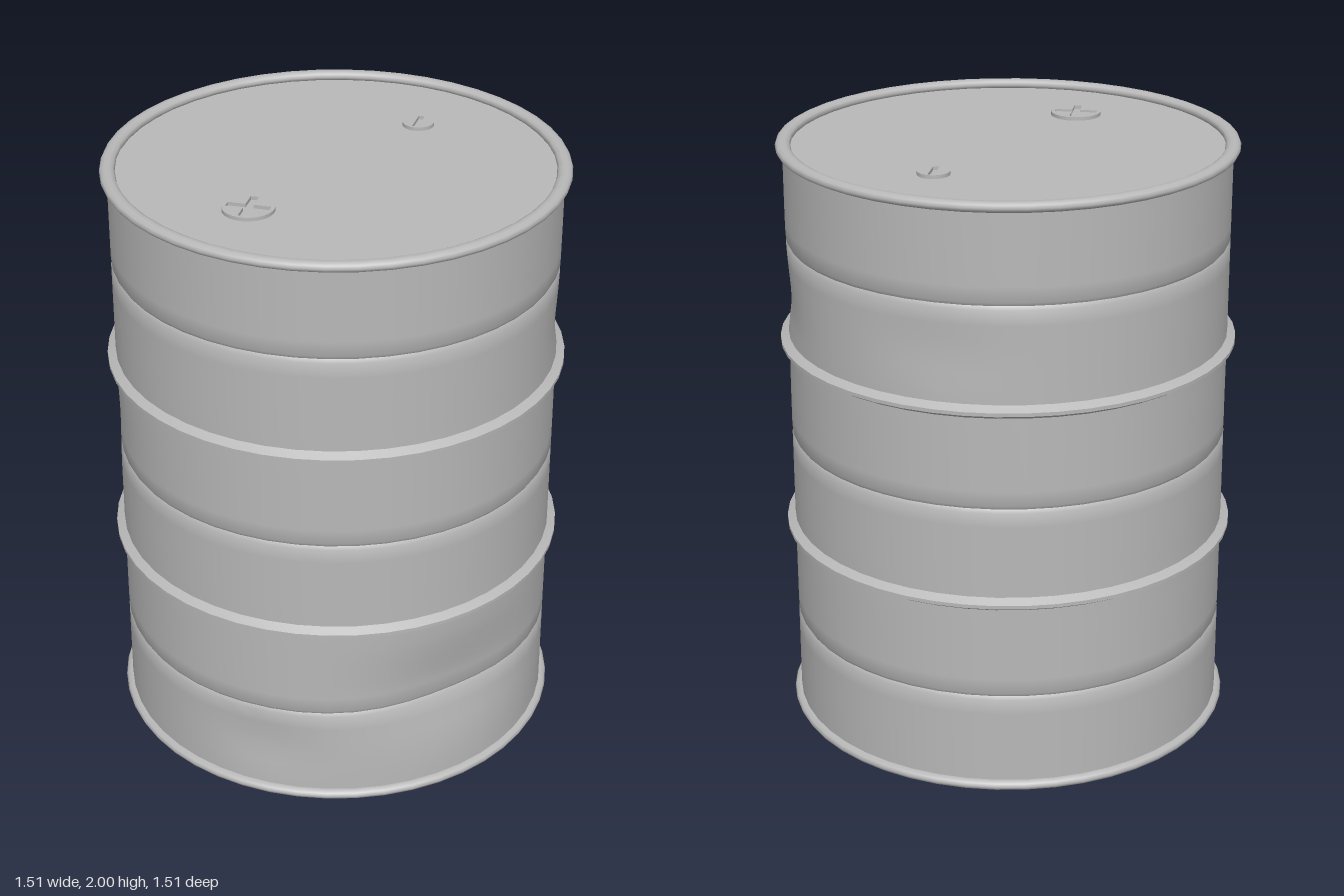
import * as THREE from 'three';
import { mergeVertices, toCreasedNormals } from 'three/addons/utils/BufferGeometryUtils.js';

const SIDES = 48;
const RADIUS = 0.728;

// Dents: angle from +x towards +z, height, depth, angular and vertical reach
const DENTS = [
  { a: 0.04, y: 0.37, depth: 0.038, ra: 0.42, ry: 0.16 },
  { a: 0.95, y: 0.2, depth: 0.012, ra: 0.22, ry: 0.1 },
  { a: -0.95, y: 1.45, depth: 0.014, ra: 0.25, ry: 0.14 },
  { a: -2.1, y: 1.52, depth: 0.007, ra: 0.25, ry: 0.1 },
  { a: 2.0, y: 1.1, depth: 0.005, ra: 0.25, ry: 0.12 },
];

// Wall outline with two rolling hoops and three shallow grooves
function wallProfile() {
  const features = [
    { y: 0.34, bump: [[-0.012, 0], [0, -0.007], [0.012, 0]] },
    { y: 0.675, bump: [[-0.022, 0], [-0.016, 0.01], [-0.006, 0.027], [0.006, 0.027], [0.016, 0.01], [0.022, 0]] },
    { y: 1.0, bump: [[-0.012, 0], [0, -0.007], [0.012, 0]] },
    { y: 1.33, bump: [[-0.022, 0], [-0.016, 0.01], [-0.006, 0.027], [0.006, 0.027], [0.016, 0.01], [0.022, 0]] },
    { y: 1.67, bump: [[-0.012, 0], [0, -0.007], [0.012, 0]] },
  ];
  const points = [new THREE.Vector2(RADIUS, 0.015)];
  const rise = (top) => {
    const from = points[points.length - 1].y;
    for (let i = 1; i <= 6; i++) {
      points.push(new THREE.Vector2(RADIUS, THREE.MathUtils.lerp(from, top, i / 6)));
    }
  };
  for (const { y, bump } of features) {
    rise(y + bump[0][0]);
    for (const [dy, dr] of bump.slice(1)) points.push(new THREE.Vector2(RADIUS + dr, y + dy));
  }
  rise(1.98);
  return points;
}

// Push the wall inwards with soft round dents
function dentWall(geometry) {
  const pos = geometry.attributes.position;
  for (let i = 0; i < pos.count; i++) {
    const x = pos.getX(i), y = pos.getY(i), z = pos.getZ(i);
    const r = Math.hypot(x, z);
    const angle = Math.atan2(z, x);
    let push = 0;
    for (const d of DENTS) {
      const da = Math.atan2(Math.sin(angle - d.a), Math.cos(angle - d.a)) / d.ra;
      const dy = (y - d.y) / d.ry;
      push += d.depth * Math.exp(-da * da - dy * dy);
    }
    // Hoops and rims stay stiff
    const stiff = Math.min(...[0, 0.675, 1.33, 2].map((h) => Math.abs(y - h)));
    push *= THREE.MathUtils.smoothstep(stiff, 0.02, 0.12);
    const s = (r - push) / r;
    pos.setXYZ(i, x * s, y, z * s);
  }
}

function wallGeometry() {
  const lathe = new THREE.LatheGeometry(wallProfile(), SIDES);
  dentWall(lathe);
  lathe.deleteAttribute('uv');
  lathe.deleteAttribute('normal');
  return toCreasedNormals(mergeVertices(lathe, 1e-4), 0.6);
}

// Rectangle or cross outline for the key slot in a plug
function slotPath(length, width, cross, turn) {
  const l = length / 2, w = width / 2;
  const corners = cross
    ? [[l, -w], [l, w], [w, w], [w, l], [-w, l], [-w, w], [-l, w], [-l, -w], [-w, -w], [-w, -l], [w, -l], [w, -w]]
    : [[l, -w], [l, w], [-l, w], [-l, -w]];
  const c = Math.cos(turn), s = Math.sin(turn);
  return new THREE.Path(corners.map(([x, y]) => new THREE.Vector2(x * c - y * s, x * s + y * c)).reverse());
}

function plugGeometry(radius, length, width, cross, turn) {
  const shape = new THREE.Shape().absarc(0, 0, radius, 0, Math.PI * 2, false);
  shape.holes.push(slotPath(length, width, cross, turn));
  return new THREE.ExtrudeGeometry(shape, { depth: 0.012, bevelEnabled: false, curveSegments: 24 })
    .rotateX(-Math.PI / 2);
}

export function createModel() {
  const barrel = new THREE.Group();
  barrel.name = 'barrel';
  const steel = new THREE.MeshStandardMaterial({ color: 0xb8b8b8, side: THREE.DoubleSide });
  steel.name = 'greySteel';

  const add = (name, geometry, x = 0, y = 0, z = 0) => {
    const mesh = new THREE.Mesh(geometry, steel);
    mesh.name = name;
    mesh.position.set(x, y, z);
    barrel.add(mesh);
  };

  add('wall', wallGeometry());

  // Rolled rims at both ends; the underside is open
  const rim = new THREE.TorusGeometry(0.726, 0.025, 10, SIDES).rotateX(Math.PI / 2).scale(1, 0.7, 1);
  add('bottomRim', rim, 0, 0.0175, 0);
  add('topRim', rim, 0, 1.9825, 0);

  // Lid set just below the top rim
  add('lid', new THREE.CircleGeometry(0.725, SIDES).rotateX(-Math.PI / 2), 0, 1.972, 0);

  // Screw plugs in the lid
  add('largePlug', plugGeometry(0.083, 0.14, 0.026, true, 0.7), 0.11, 1.972, 0.405);
  add('smallPlug', plugGeometry(0.052, 0.088, 0.02, false, -0.9), -0.11, 1.972, -0.408);

  return barrel;
}
